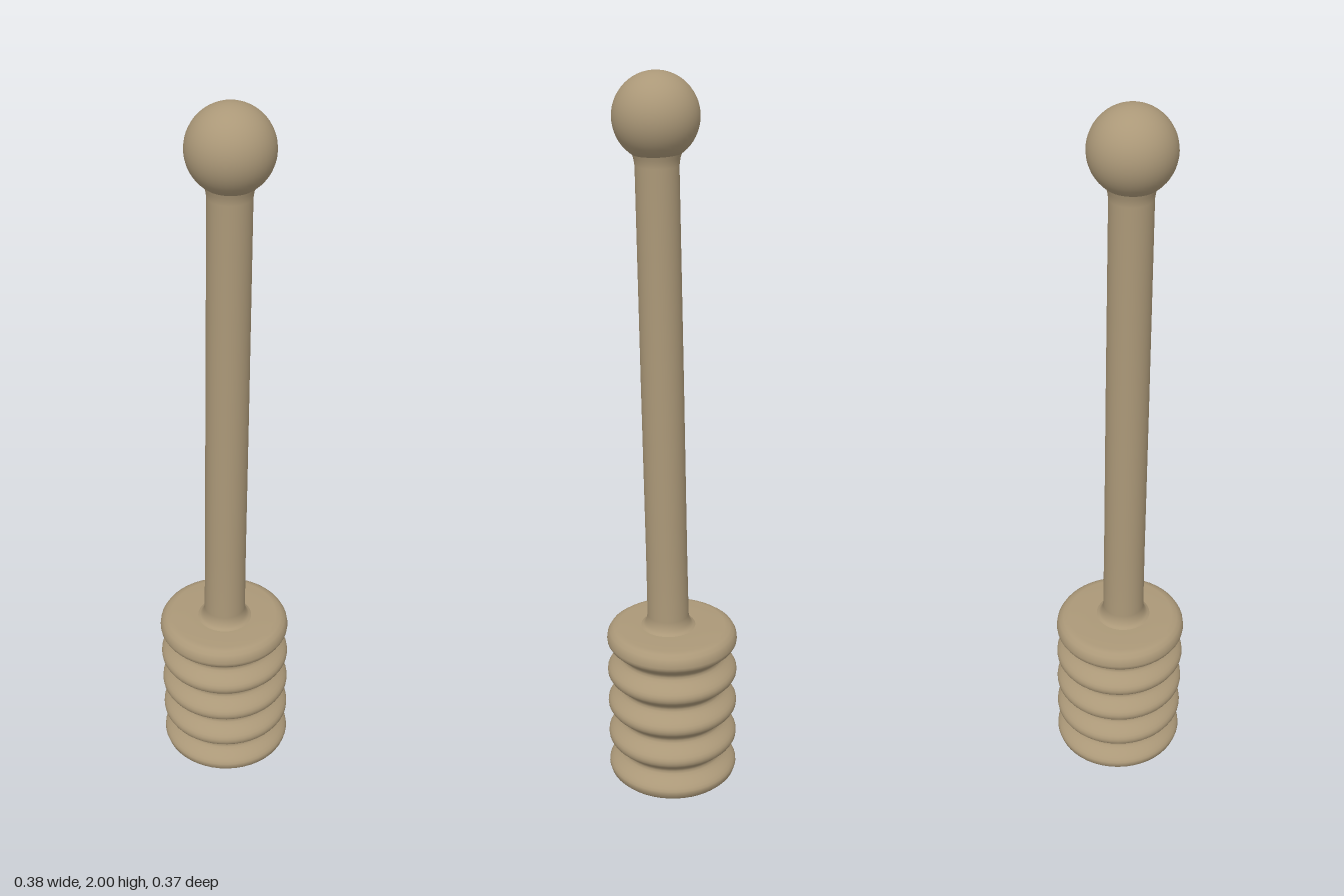
import * as THREE from 'three';

const wood = new THREE.MeshStandardMaterial({ color: 0xab9878 });
wood.name = 'light wood';

// Turned part whose axis leans: offset(y) gives the axis position [x, z] at height y
function turned(name, points, offset) {
  const geo = new THREE.LatheGeometry(points.map(([r, y]) => new THREE.Vector2(r, y)), 48);
  const pos = geo.attributes.position;
  for (let i = 0; i < pos.count; i++) {
    const [dx, dz] = offset(pos.getY(i));
    pos.setX(i, pos.getX(i) + dx);
    pos.setZ(i, pos.getZ(i) + dz);
  }
  const mesh = new THREE.Mesh(geo, wood);
  mesh.name = name;
  return mesh;
}

export function createModel() {
  const group = new THREE.Group();
  group.name = 'honeyDipper';

  // Grooved head: five rounded rings between a flat foot and a flat top
  const head = [[0, 0.002], [0.1, 0.004], [0.155, 0.008], [0.17, 0.012], [0.18, 0.022]];
  const bottom = 0.035, pitch = 0.101, rings = 5;
  const steps = 14 * (rings - 1);
  for (let i = 0; i <= steps; i++) {
    const t = i / 14;
    const groove = Math.pow(0.5 - 0.5 * Math.cos(t * Math.PI * 2), 1.25);
    head.push([0.184 - 0.04 * groove, bottom + t * pitch]);
  }
  head.push([0.182, 0.452], [0.176, 0.463], [0.165, 0.471], [0.15, 0.475], [0.09, 0.476], [0, 0.476]);
  group.add(turned('groovedHead', head, (y) => [0.003 - 0.018 * y, 0.001]));

  // Leaning handle with a small flare where it meets the head
  const lean = (y) => {
    const t = (y - 0.47) / 1.42;
    return [-0.01 - 0.006 * t, 0.01 + 0.029 * t];
  };
  const handle = [[0.085, 0.472], [0.07, 0.479], [0.062, 0.49], [0.058, 0.51],
    [0.057, 0.7], [0.057, 1.2], [0.056, 1.77], [0.059, 1.79], [0.066, 1.81]];
  group.add(turned('handle', handle, lean));

  // Ball knob at the top of the handle
  const knob = new THREE.Mesh(new THREE.SphereGeometry(0.11, 40, 28), wood);
  knob.name = 'ballKnob';
  knob.position.set(-0.016, 1.89, 0.039);
  group.add(knob);

  return group;
}
